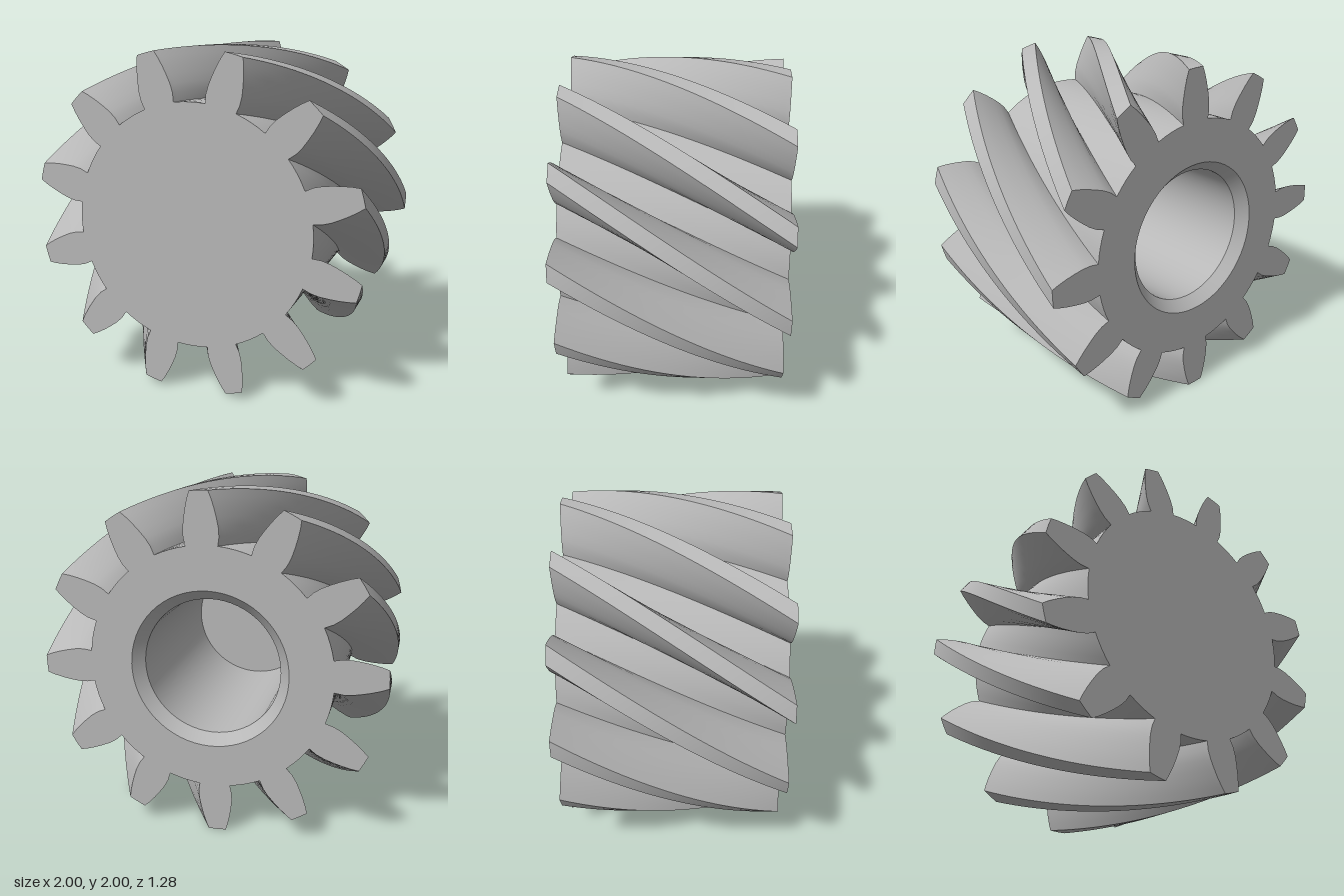
import * as THREE from 'three';
import { toCreasedNormals } from 'three/addons/utils/BufferGeometryUtils.js';

const TEETH = 12, HALF = 0.64, STEPS = 48;
const TWIST = THREE.MathUtils.degToRad(47.5);
const ROOT = 0.71;

// Half a tooth flank, root to tip: [radius, half angle in degrees]
const FLANK = [[ROOT, 7.4], [0.76, 7.6], [0.81, 7.05], [0.86, 6.1], [0.91, 5.1], [0.96, 4], [1, 3]];

// One cross-section of the gear, counter-clockwise, turned by angle
function outline(angle) {
  const pts = [];
  const add = (r, deg) => {
    const a = THREE.MathUtils.degToRad(deg) + angle;
    pts.push(new THREE.Vector2(r * Math.cos(a), r * Math.sin(a)));
  };
  for (let t = 0; t < TEETH; t++) {
    const mid = 15 + t * 360 / TEETH;
    FLANK.forEach(([r, d]) => add(r, mid - d));
    add(1, mid);
    [...FLANK].reverse().forEach(([r, d]) => add(r, mid + d));
    for (const d of [-3.8, 0, 3.8]) add(ROOT, mid + 15 + d);
  }
  return pts;
}

// Toothed skin: cross-sections twisted along the axis
function helicalSkin() {
  const pos = [], index = [];
  let n = 0;
  for (let j = 0; j <= STEPS; j++) {
    const t = j / STEPS, ring = outline(-TWIST * t);
    n = ring.length;
    ring.forEach(p => pos.push(p.x, p.y, HALF - 2 * HALF * t));
  }
  for (let j = 0; j < STEPS; j++) {
    for (let i = 0; i < n; i++) {
      const a = j * n + i, b = j * n + (i + 1) % n;
      index.push(a, a + n, b, b, a + n, b + n);
    }
  }
  const geo = new THREE.BufferGeometry();
  geo.setAttribute('position', new THREE.Float32BufferAttribute(pos, 3));
  geo.setIndex(index);
  return toCreasedNormals(geo, 0.5);
}

export function createModel() {
  const gear = new THREE.Group();
  gear.name = 'helicalGear';
  const steel = new THREE.MeshStandardMaterial({ color: 0xb8b8b8 });
  steel.name = 'grey steel';
  const add = (name, geo) => {
    const mesh = new THREE.Mesh(geo, steel);
    mesh.name = name;
    mesh.position.y = 1;
    gear.add(mesh);
  };

  add('helicalTeeth', helicalSkin());

  // Solid front face
  const front = new THREE.ShapeGeometry(new THREE.Shape(outline(0)));
  front.translate(0, 0, HALF);
  add('frontFace', front);

  // Back face with the bore opening, mirrored then turned to face backwards
  const backShape = new THREE.Shape(outline(-TWIST).map(p => new THREE.Vector2(-p.x, p.y)).reverse());
  backShape.holes.push(new THREE.Path().absarc(0, 0, 0.46, 0, Math.PI * 2, true));
  const back = new THREE.ShapeGeometry(backShape, 32);
  back.rotateY(Math.PI);
  back.translate(0, 0, -HALF);
  add('backFace', back);

  // Blind bore with a chamfered mouth
  const profile = [[0, 0.5], [0.4, 0.5], [0.4, -0.575], [0.46, -HALF]];
  const bore = new THREE.LatheGeometry(profile.map(([r, y]) => new THREE.Vector2(r, y)), 64);
  bore.rotateX(Math.PI / 2);
  add('bore', toCreasedNormals(bore, 0.5));

  return gear;
}
